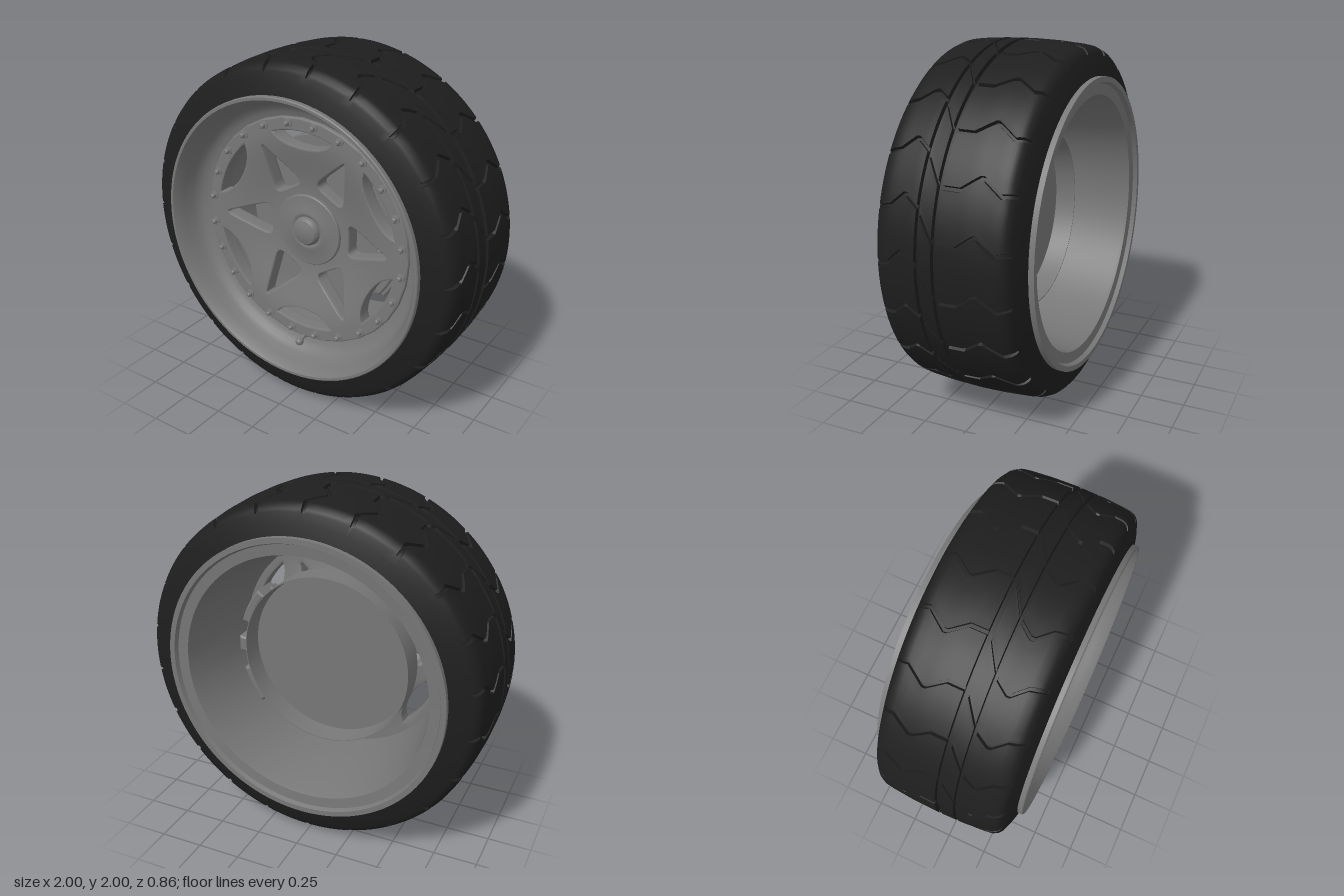
import * as THREE from 'three';
import { toCreasedNormals } from 'three/addons/utils/BufferGeometryUtils.js';

const paint = (color) => new THREE.MeshStandardMaterial({ color, side: THREE.DoubleSide });
const RUBBER = paint(0x1e1e1e), METAL = paint(0x777777), LIGHT = paint(0xaaaaaa);
const DEG = Math.PI / 180;

function mesh(name, geometry, material) {
  const m = new THREE.Mesh(geometry, material);
  m.name = name;
  return m;
}

// Revolve a [radius, z] profile around the z axis
function turned(profile, segments = 96) {
  const pts = profile.map(([r, z]) => new THREE.Vector2(r, z));
  return toCreasedNormals(new THREE.LatheGeometry(pts, segments).rotateX(Math.PI / 2), 0.5);
}

// Piecewise linear lookup through [x, y] pairs
function lookup(table, x) {
  if (x <= table[0][0]) return table[0][1];
  for (let i = 1; i < table.length; i++) {
    const [x0, y0] = table[i - 1], [x1, y1] = table[i];
    if (x <= x1) return y0 + (y1 - y0) * (x - x0) / (x1 - x0);
  }
  return table[table.length - 1][1];
}

// Tyre: grid sheared along the zigzag path so each tread cut follows its columns
function tyreGeometry() {
  const crown = [[-0.36, 0.95], [-0.345, 0.968], [-0.32, 0.98], [-0.28, 0.986], [-0.15, 0.996], [0, 1],
    [0.15, 0.996], [0.28, 0.986], [0.32, 0.98], [0.345, 0.968], [0.36, 0.95]];
  const zigzag = [[-0.39, 0.01], [-0.34, 0.005], [-0.3, -0.005], [-0.2, 0.07], [-0.18, 0.068], [-0.09, 0],
    [0, 0], [0.03, 0.02], [0.12, 0.175], [0.19, 0.23], [0.21, 0.23], [0.28, 0.165], [0.35, 0.15]];
  // Rows: [radius, z, can be cut]
  const rows = [[0.78, -0.38, 0], [0.82, -0.4, 0], [0.89, -0.382, 0], [0.935, -0.366, 0], [0.95, -0.36, 1]];
  const tread = [-0.345, -0.32, -0.3, -0.28, -0.25, -0.22, -0.2, -0.18, -0.15, -0.12, -0.09, -0.04, 0,
    0.03, 0.05, 0.08, 0.105, 0.125, 0.15, 0.17, 0.19, 0.21, 0.23, 0.25, 0.28, 0.32, 0.345];
  for (const z of tread) {
    const r = lookup(crown, z);
    rows.push([r, z, 1]);
    // circumferential channels
    if (z === 0 || z === 0.105) {
      const end = z === 0 ? 0.03 : 0.125;
      rows.push([r - 0.025, z + 0.002, 0], [r - 0.025, end - 0.002, 0]);
    }
  }
  rows.push([0.95, 0.36, 1], [0.935, 0.366, 0], [0.89, 0.382, 0], [0.82, 0.4, 0], [0.78, 0.38, 0]);

  const cuts = 22, pitch = Math.PI * 2 / cuts;
  const columns = [[-0.013, 0], [-0.009, 1], [0.009, 1], [0.013, 0]];
  for (let k = 1; k < 6; k++) columns.push([0.013 + (pitch - 0.026) * k / 6, 0]);
  const count = cuts * columns.length, pos = [], index = [];
  rows.forEach(([r, z, cuttable], i) => {
    for (let j = 0; j < count; j++) {
      const [u, cut] = columns[j % columns.length];
      const a = Math.PI / 2 + Math.floor(j / columns.length) * pitch + u + lookup(zigzag, z);
      const rr = r - 0.02 * cut * cuttable;
      pos.push(rr * Math.cos(a), rr * Math.sin(a), z);
      if (i === rows.length - 1) continue;
      const n = (j + 1) % count, p = i * count, q = p + count;
      index.push(p + j, p + n, q + n, p + j, q + n, q + j);
    }
  });
  const g = new THREE.BufferGeometry();
  g.setAttribute('position', new THREE.Float32BufferAttribute(pos, 3));
  g.setIndex(index);
  return toCreasedNormals(g, 0.5);
}

// Closed path through corners p, each rounded by the fraction t of its edges
function roundedPath(corners) {
  const path = new THREE.Path(), n = corners.length;
  corners.forEach(({ p, t }, i) => {
    const a = p.clone().lerp(corners[(i + n - 1) % n].p, t);
    const b = p.clone().lerp(corners[(i + 1) % n].p, t);
    if (i) path.lineTo(a.x, a.y); else path.moveTo(a.x, a.y);
    path.quadraticCurveTo(p.x, p.y, b.x, b.y);
  });
  path.closePath();
  return path;
}

const polar = (r, a) => new THREE.Vector2(r * Math.cos(a), r * Math.sin(a));

// Halve the longest edge of each triangle until none is longer than max
function subdivided(geometry, max) {
  const p = geometry.getAttribute('position'), out = [], stack = [];
  const corner = (i) => new THREE.Vector3().fromBufferAttribute(p, i);
  for (let i = 0; i < p.count; i += 3) stack.push([corner(i), corner(i + 1), corner(i + 2)]);
  while (stack.length) {
    let [a, b, c] = stack.pop();
    const ab = a.distanceTo(b), bc = b.distanceTo(c), ca = c.distanceTo(a), longest = Math.max(ab, bc, ca);
    if (longest <= max) {
      out.push(a, b, c);
      continue;
    }
    if (longest === bc) [a, b, c] = [b, c, a];
    else if (longest === ca) [a, b, c] = [c, a, b];
    const m = a.clone().add(b).multiplyScalar(0.5);
    stack.push([a, m, c], [m, b, c]);
  }
  return new THREE.BufferGeometry().setFromPoints(out);
}

// Spoke plate: triangular window in every spoke, crescent between spokes, dished to the hub
function spokeGeometry() {
  const shape = new THREE.Shape().absarc(0, 0, 0.67, 0, Math.PI * 2);
  for (let k = 0; k < 6; k++) {
    const a = k * 60 * DEG;
    const triangle = [[0.262, -0.105, 0.22], [0.55, 0, 0.1], [0.262, 0.105, 0.22]].map(([x, y, t]) =>
      ({ p: new THREE.Vector2(x, y).rotateAround(new THREE.Vector2(), a), t }));
    shape.holes.push(roundedPath(triangle));
    const mid = a + 30 * DEG, half = 18.5 * DEG;
    const crescent = new THREE.Path();
    crescent.absarc(0, 0, 0.592, mid - half, mid + half, false);
    const c1 = polar(0.49, mid + half * 0.8), c2 = polar(0.49, mid - half * 0.8), e = polar(0.592, mid - half);
    crescent.bezierCurveTo(c1.x, c1.y, c2.x, c2.y, e.x, e.y);
    shape.holes.push(crescent);
  }
  const flat = new THREE.ExtrudeGeometry(shape, {
    depth: 0.07, bevelThickness: 0.012, bevelSize: 0.01, bevelOffset: -0.01,
    bevelSegments: 2, curveSegments: 16,
  }).translate(0, 0, 0.168);
  const plate = toCreasedNormals(subdivided(flat, 0.035), 0.5);

  // Sink the plate towards the hub and lean its normals to match
  const drop = (r) => 0.07 * (1 - THREE.MathUtils.smoothstep(r, 0.2, 0.6));
  const p = plate.getAttribute('position'), normals = plate.getAttribute('normal'), n = new THREE.Vector3();
  for (let i = 0; i < p.count; i++) {
    const first = i - i % 3;
    const onFace = [0, 1, 2].every((k) => p.getZ(first + k) > 0.2499 - (k < i % 3 ? drop(
      Math.hypot(p.getX(first + k), p.getY(first + k))) : 0));
    if (onFace) n.set(0, 0, 1); else n.fromBufferAttribute(normals, i);
    const x = p.getX(i), y = p.getY(i), r = Math.hypot(x, y);
    const slope = (drop(r - 0.001) - drop(r + 0.001)) / 0.002;
    n.set(n.x - n.z * slope * x / r, n.y - n.z * slope * y / r, n.z).normalize();
    normals.setXYZ(i, n.x, n.y, n.z);
    p.setZ(i, p.getZ(i) - drop(r));
  }
  return plate;
}

// Block following an arc, centred on angle mid
function arcBlock(r0, r1, mid, half, z0, z1) {
  const s = new THREE.Shape();
  s.absarc(0, 0, r1, mid - half, mid + half, false);
  s.absarc(0, 0, r0, mid + half, mid - half, true);
  return toCreasedNormals(new THREE.ExtrudeGeometry(s, {
    depth: z1 - z0 - 0.02, bevelThickness: 0.01, bevelSize: 0.01, bevelOffset: -0.01,
    bevelSegments: 1, curveSegments: 10,
  }).translate(0, 0, z0 + 0.01), 0.5);
}

export function createModel() {
  const model = new THREE.Group();
  const wheel = new THREE.Group();
  wheel.name = 'wheel';
  wheel.position.y = 1;
  model.add(wheel);

  wheel.add(mesh('tyre', tyreGeometry(), RUBBER));

  // Rim with a deep dish in front and a tapering barrel behind
  wheel.add(mesh('rim', turned([
    [0.82, -0.43], [0.82, -0.39], [0.79, -0.36], [0.76, -0.2], [0.74, 0.2], [0.8, 0.37], [0.82, 0.39],
    [0.82, 0.425], [0.815, 0.43], [0.8, 0.43], [0.787, 0.41], [0.77, 0.36], [0.755, 0.305], [0.74, 0.275],
    [0.72, 0.255], [0.695, 0.24], [0.665, 0.23], [0.65, 0.225], [0.64, 0.15], [0.715, -0.385], [0.72, -0.4],
    [0.78, -0.405], [0.79, -0.43], [0.82, -0.43],
  ]), METAL));

  wheel.add(mesh('spokes', spokeGeometry(), METAL));

  // Hub with a raised cap and rounded centre button
  wheel.add(mesh('hub', turned([
    [0, 0.02], [0.2, 0.02], [0.21, 0.1], [0.21, 0.193], [0.205, 0.199], [0.125, 0.203], [0.108, 0.21],
    [0.095, 0.209], [0.085, 0.203], [0.082, 0.22], [0.07, 0.235], [0.04, 0.245], [0, 0.248],
  ], 64), METAL));

  // Ring of bolts
  const boltGeometry = turned([
    [0, 0.24], [0.024, 0.24], [0.024, 0.256], [0.014, 0.258], [0.014, 0.275], [0.009, 0.282], [0, 0.284],
  ], 12);
  for (let k = 0; k < 24; k++) {
    const p = polar(0.635, (k + 0.5) * 15 * DEG);
    const bolt = mesh('bolt', boltGeometry, METAL);
    bolt.position.set(p.x, p.y, 0);
    wheel.add(bolt);
  }

  // Valve at the bottom of the dish
  const valve = mesh('valve', turned([
    [0, 0], [0.02, 0], [0.02, 0.02], [0.012, 0.025], [0.012, 0.06], [0.022, 0.064], [0.024, 0.08],
    [0.014, 0.095], [0, 0.098],
  ], 16), METAL);
  valve.position.set(0, -0.66, 0.22);
  valve.rotation.x = 0.3;
  wheel.add(valve);

  // Brake disc, hollow at the back
  wheel.add(mesh('brakeDisc', turned([
    [0, 0], [0.49, 0], [0.5, -0.12], [0.505, -0.12], [0.505, 0.03], [0, 0.03],
  ]), METAL));

  // Brake caliper on the left side
  const caliper = new THREE.Group();
  caliper.name = 'brakeCaliper';
  caliper.add(mesh('caliperBody', arcBlock(0.38, 0.53, 0, 41 * DEG, 0.01, 0.085), METAL));
  caliper.add(mesh('caliperPad', arcBlock(0.4, 0.5, 0, 9 * DEG, 0.06, 0.1), LIGHT));
  for (const a of [-28, 28]) {
    caliper.add(mesh('caliperEnd', arcBlock(0.502, 0.555, a * DEG, 12 * DEG, -0.1, 0.07), METAL));
  }
  caliper.add(mesh('caliperBridge', arcBlock(0.502, 0.56, 0, 5 * DEG, -0.1, 0.06), METAL));
  wheel.add(caliper);

  return model;
}
